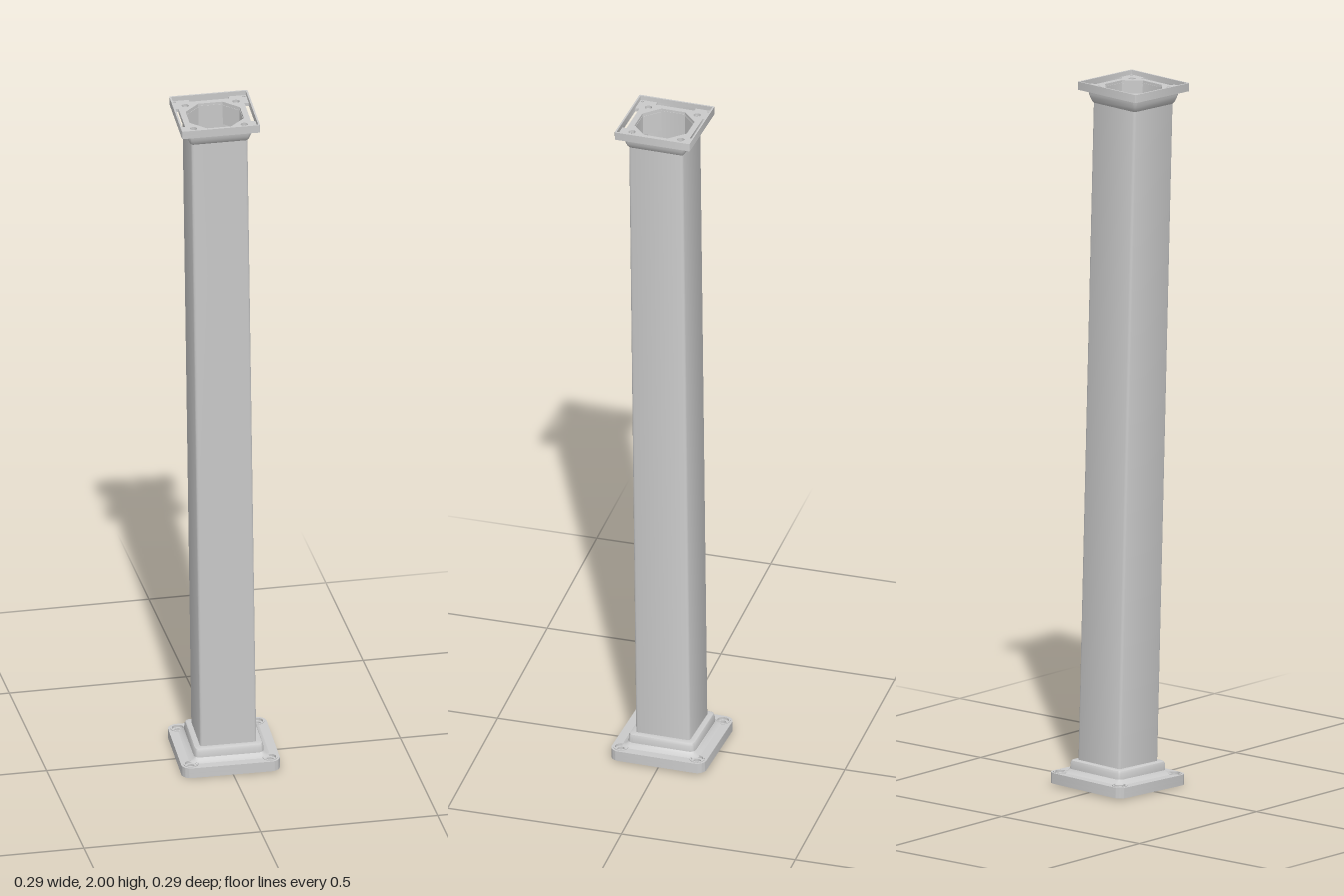
import * as THREE from 'three';
import { toCreasedNormals } from 'three/addons/utils/BufferGeometryUtils.js';

const material = new THREE.MeshStandardMaterial({ color: 0xcccccc, side: THREE.DoubleSide });
const LENGTH = 1.992;

// Square outline with rounded corners, centred on (cx, cy)
function roundedRect(hx, hy, r, Type = THREE.Path, cx = 0, cy = 0) {
  const p = new Type();
  p.moveTo(cx + hx, cy - hy + r);
  [[hx, hy, 0], [-hx, hy, 1], [-hx, -hy, 2], [hx, -hy, 3]].forEach(([x, y, q]) => {
    const a = q * Math.PI / 2;
    p.absarc(cx + x - Math.sign(x) * r, cy + y - Math.sign(y) * r, r, a, a + Math.PI / 2, false);
  });
  p.closePath();
  return p;
}

// Square outline with cut corners
function octagon(h, c, Type = THREE.Path) {
  const k = h - c;
  return new Type([[h, -k], [h, k], [k, h], [-k, h], [-h, k], [-h, -k], [-k, -h], [k, -h]]
    .map(([x, y]) => new THREE.Vector2(x, y))).closePath() || null;
}

function octagonPath(h, c, Type = THREE.Path) {
  const k = h - c;
  return new Type([[h, -k], [h, k], [k, h], [-k, h], [-h, k], [-h, -k], [-k, -h], [k, -h], [h, -k]]
    .map(([x, y]) => new THREE.Vector2(x, y)));
}

const circle = (x, y, r, Type = THREE.Path) => new Type().absarc(x, y, r, 0, Math.PI * 2, false);
const corners = [[1, 1], [-1, 1], [-1, -1], [1, -1]];
const sides = [[1, 0], [0, 1], [-1, 0], [0, -1]];

function add(group, name, geometry) {
  const mesh = new THREE.Mesh(toCreasedNormals(geometry, 0.6), material);
  mesh.name = name;
  group.add(mesh);
}

// Upright slab between y0 and y1
function slab(shape, holes, y0, y1) {
  shape.holes.push(...holes);
  const g = new THREE.ExtrudeGeometry(shape, { depth: y1 - y0, bevelEnabled: false, curveSegments: 8 });
  return g.rotateX(-Math.PI / 2).translate(0, y0, 0);
}

// Skin through rounded squares given as [half width, y, corner radius]
function loft(rings) {
  const steps = 6, n = 4 * (steps + 1), pos = [], index = [];
  rings.forEach(([h, y, r]) => {
    for (let q = 0; q < 4; q++) {
      for (let s = 0; s <= steps; s++) {
        const a = (q + s / steps) * Math.PI / 2, [sx, sz] = corners[q];
        pos.push(sx * (h - r) + r * Math.cos(a), y, sz * (h - r) + r * Math.sin(a));
      }
    }
  });
  for (let i = 0; i < rings.length - 1; i++) {
    for (let j = 0; j < n; j++) {
      const a = i * n + j, b = i * n + (j + 1) % n;
      index.push(a, a + n, b, b, a + n, b + n);
    }
  }
  const g = new THREE.BufferGeometry();
  g.setAttribute('position', new THREE.Float32BufferAttribute(pos, 3));
  g.setIndex(index);
  g.computeVertexNormals();
  return g;
}

export function createModel() {
  const model = new THREE.Group();
  const post = new THREE.Group();
  post.name = 'post';
  model.add(post);

  // Hollow square column
  add(post, 'column', slab(roundedRect(0.079, 0.079, 0.007, THREE.Shape),
    [roundedRect(0.075, 0.075, 0.004)], 0.03, LENGTH - 0.02));

  // Foot: pocketed underside, plate, counterbored top
  const base = new THREE.Group();
  base.name = 'base';
  post.add(base);
  const boltHoles = r => corners.map(([x, z]) => circle(x * 0.111, z * 0.111, r));
  const flange = () => roundedRect(0.138, 0.138, 0.027, THREE.Shape);
  const pockets = sides.flatMap(([x, z]) => [-1, 1].map(s => roundedRect(
    x ? 0.022 : 0.036, x ? 0.036 : 0.022, 0.006, THREE.Path,
    x * 0.104 + (x ? 0 : s * 0.041), z * 0.104 + (z ? 0 : s * 0.041))));
  add(base, 'baseUnderside', slab(flange(), [...boltHoles(0.01), ...pockets, octagonPath(0.064, 0.016)], 0, 0.013));
  add(base, 'basePlate', slab(flange(), [...boltHoles(0.01), octagonPath(0.064, 0.016)], 0.013, 0.025));
  add(base, 'baseTop', slab(flange(), [...boltHoles(0.017), roundedRect(0.075, 0.075, 0.004)], 0.025, 0.03));
  corners.forEach(([x, z]) => add(base, 'boltBoss', slab(circle(x * 0.111, z * 0.111, 0.021, THREE.Shape),
    [circle(x * 0.111, z * 0.111, 0.017)], 0.029, 0.032)));
  add(base, 'baseCollar', loft([[0.113, 0.03, 0.024], [0.104, 0.034, 0.02], [0.098, 0.041, 0.017],
    [0.097, 0.058, 0.016], [0.094, 0.064, 0.013], [0.09, 0.066, 0.01], [0.078, 0.066, 0.006]]));

  // Cross bars and small bosses in the foot opening
  add(base, 'crossBar', new THREE.BoxGeometry(0.13, 0.02, 0.006).translate(0, 0.011, 0));
  add(base, 'crossBar', new THREE.BoxGeometry(0.006, 0.02, 0.13).translate(0, 0.011, 0));
  sides.forEach(([x, z]) => add(base, 'crossBarBoss',
    new THREE.CylinderGeometry(0.012, 0.012, 0.024, 20).translate(x * 0.064, 0.013, z * 0.064)));

  // Head: flared collar, slotted floor and thin raised rim
  const cap = new THREE.Group();
  cap.name = 'cap';
  post.add(cap);
  const plate = () => roundedRect(0.1095, 0.1095, 0.003, THREE.Shape);
  const screwHoles = () => corners.map(([x, z]) => circle(x * 0.071, z * 0.071, 0.01));
  const slots = sides.map(([x, z]) => roundedRect(x ? 0.006 : 0.056, x ? 0.056 : 0.006, 0.001,
    THREE.Path, x * 0.0985, z * 0.0985));
  const pinHoles = corners.map(([x, z]) => circle(x * 0.097, z * 0.097, 0.0045));
  const floorY = LENGTH - 0.013;
  add(cap, 'capFloor', slab(plate(), [octagonPath(0.076, 0.042), ...screwHoles(), ...slots, ...pinHoles],
    LENGTH - 0.023, floorY));
  add(cap, 'capRim', slab(plate(), [roundedRect(0.1045, 0.1045, 0.002)], floorY, LENGTH));
  add(cap, 'capCollar', loft([[0.078, 1.932, 0.006], [0.083, 1.938, 0.008], [0.087, 1.948, 0.01],
    [0.09, 1.958, 0.01], [0.0915, 1.97, 0.01]]));

  // Cut-corner blocks inside the head that carry the screw holes
  corners.forEach(([x, z]) => {
    const a = 0.0745, b = 0.034;
    const gusset = new THREE.Shape([[a, a], [b, a], [a, b]].map(([u, v]) => new THREE.Vector2(x * u, z * v)));
    add(cap, 'cornerGusset', slab(gusset, [circle(x * 0.0635, z * 0.0635, 0.0075)], 1.91, LENGTH - 0.023));
  });

  // Whole post leans slightly and is turned a little
  const lean = new THREE.Vector3(-0.033, 1.99, 0.031).normalize();
  post.quaternion.setFromUnitVectors(new THREE.Vector3(0, 1, 0), lean)
    .multiply(new THREE.Quaternion().setFromAxisAngle(new THREE.Vector3(0, 1, 0), -0.045));
  post.position.set(0.002, 0.0044, -0.003);
  return model;
}
